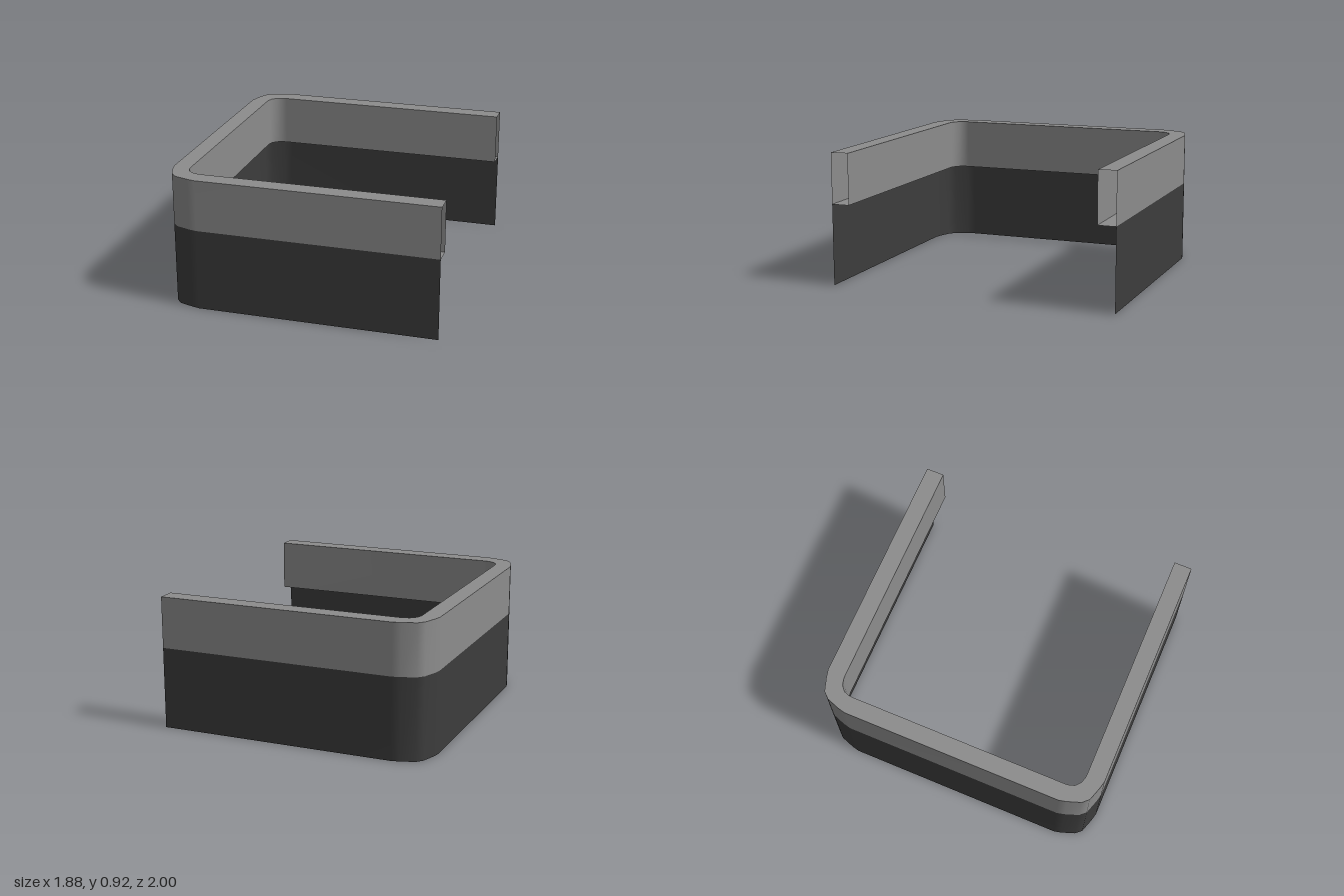
import * as THREE from 'three';

const TOP = 0.915, SEAM = 0.562;

// Half plan outlines [x, z] from the open end to the side wall, mirrored to the back
const mirrorZ = (half) => [...half, ...half.slice().reverse().map(([x, z]) => [x, -z])];
const outer = mirrorZ([[0.937, 1], [-0.705, 1], [-0.76, 0.987], [-0.857, 0.955],
  [-0.895, 0.913], [-0.928, 0.82], [-0.94, 0.768]]);
const inner = mirrorZ([[0.937, 0.876], [-0.705, 0.876], [-0.733, 0.873], [-0.77, 0.862],
  [-0.806, 0.83], [-0.818, 0.795], [-0.821, 0.768]]);

// Smooth ribbon between two plan outlines at two heights
function ribbon(name, pathA, yA, pathB, yB, material) {
  const positions = [], index = [];
  pathA.forEach(([x, z], i) => {
    positions.push(x, yA, z, pathB[i][0], yB, pathB[i][1]);
    if (i < pathA.length - 1) {
      const a = i * 2;
      index.push(a, a + 1, a + 2, a + 1, a + 3, a + 2);
    }
  });
  const geometry = new THREE.BufferGeometry();
  geometry.setAttribute('position', new THREE.Float32BufferAttribute(positions, 3));
  geometry.setIndex(index);
  geometry.computeVertexNormals();
  const mesh = new THREE.Mesh(geometry, material);
  mesh.name = name;
  return mesh;
}

export function createModel() {
  const lightGrey = new THREE.MeshStandardMaterial({ name: 'light grey', color: 0x8c8c8c, side: THREE.DoubleSide });
  const darkGrey = new THREE.MeshStandardMaterial({ name: 'dark grey', color: 0x3c3c3c, side: THREE.DoubleSide });

  // Hollow rail with open ends
  const rail = new THREE.Group();
  rail.name = 'rail';
  rail.add(
    ribbon('railOuterWall', outer, SEAM, outer, TOP, lightGrey),
    ribbon('railInnerWall', inner, TOP, inner, SEAM, lightGrey),
    ribbon('railTop', outer, TOP, inner, TOP, lightGrey),
    ribbon('railUnderside', inner, SEAM, outer, SEAM, lightGrey),
  );

  // Thin sheet hanging below the rail's outer edge
  const skirt = ribbon('skirt', outer, 0, outer, SEAM, darkGrey);

  const model = new THREE.Group();
  model.name = 'surround';
  model.add(rail, skirt);
  return model;
}
